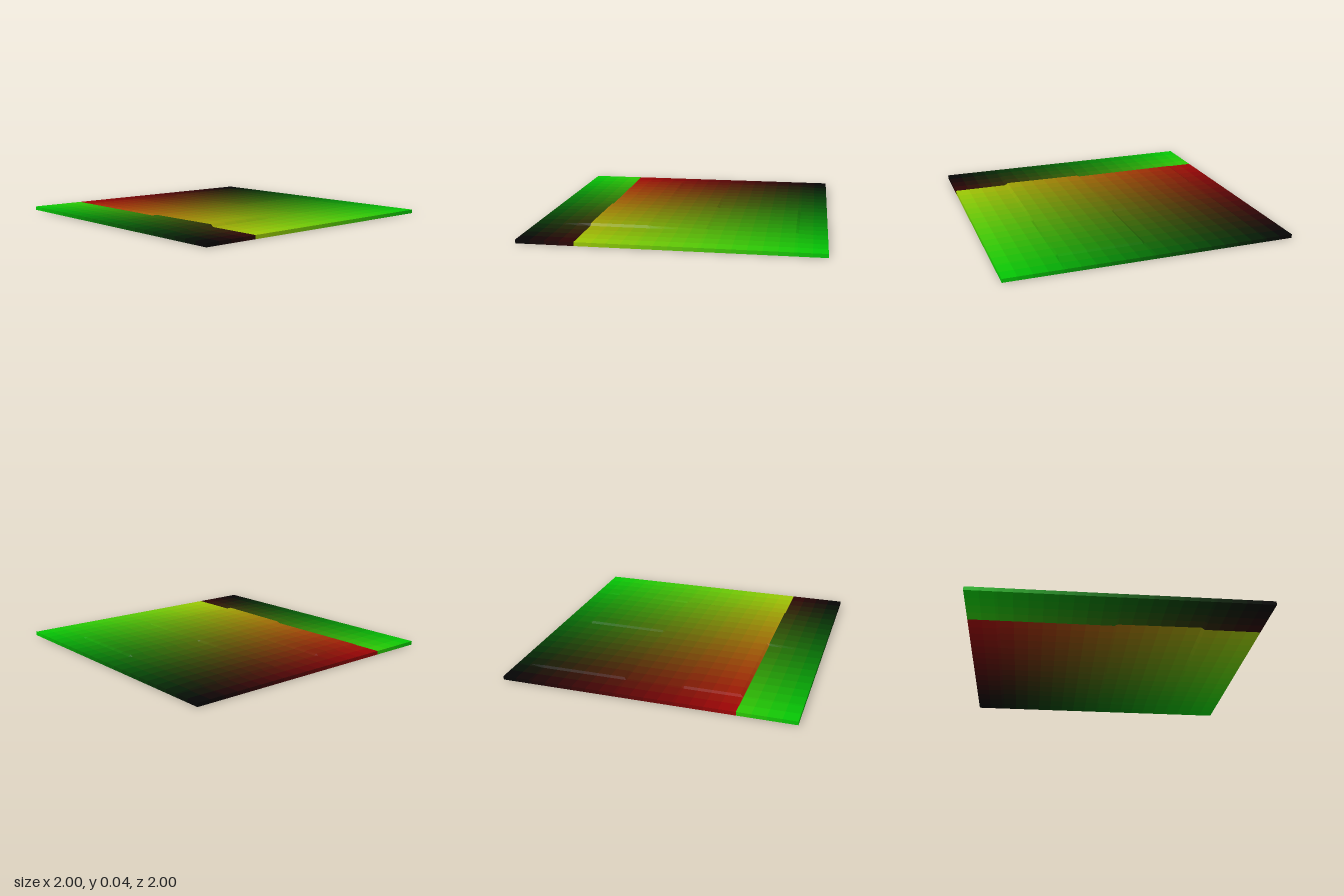
import * as THREE from 'three';

const THICKNESS = 0.026, BASE = 0.002, GAP = 0.01;

// Panel borders of the sheet
const XS = [-1, -0.6, -0.2, 0.2, 0.8, 1];
const ZS = [-1, -0.8, 0, 0.6, 1];

// Rise of each panel's corners in thousandths: back left, back right, front left, front right
const FLAT = [0, 0, 0, 0];
const PANELS = [
  [FLAT, FLAT, FLAT, FLAT, FLAT],
  [FLAT, [10, 10, 9, 9], [0, 0, 8, 10], [10, 10, -2, -2], [10, 0, 0, 0]],
  [[0, 11, 0, 16], [11, 11, 16, 16], [8, 8, 14, 8], [8, 10, 2, 8], FLAT],
  [FLAT, FLAT, [0, 8, 0, 0], [10, 8, 0, 0], [8, 0, 0, 0]],
];

// Sample positions across the panels, leaving a narrow step between neighbours
function samples(borders) {
  const list = [];
  for (let p = 0; p < borders.length - 1; p++) {
    const a = borders[p], b = borders[p + 1];
    const start = p === 0 ? a : a + GAP;
    const end = p === borders.length - 2 ? b : b - GAP;
    const count = Math.round((b - a) / 0.1);
    for (let k = 0; k <= count; k++) {
      const at = start + (end - start) * k / count;
      list.push({ at, panel: p, t: (at - a) / (b - a) });
    }
  }
  return list;
}

// Underside height: blend of the four corners of a panel
function rise(sx, sz) {
  const [a, b, c, d] = PANELS[sz.panel][sx.panel];
  const back = a + (b - a) * sx.t, front = c + (d - c) * sx.t;
  return BASE + (back + (front - back) * sz.t) / 1000;
}

// Two-tone gradient: a side strip with a reversed blend, then the main field
function tint(x, z) {
  const t = (z + 1) / 2;
  const red = x < -0.601 ? 0.2 * (x + 1) / 0.4 : 0.63 * (1 - x) / 1.6;
  const green = 0.8 * (x < -0.601 ? 1 - t : t);
  return new THREE.Color().setRGB(red, green, 0.02, THREE.SRGBColorSpace);
}

// Open patch made of four-cornered faces, corners counter-clockwise from outside
function patch(quads) {
  const positions = [];
  for (const [a, b, c, d] of quads) positions.push(...a, ...b, ...c, ...a, ...c, ...d);
  const geometry = new THREE.BufferGeometry();
  geometry.setAttribute('position', new THREE.Float32BufferAttribute(positions, 3));
  geometry.computeVertexNormals();
  return geometry;
}

export function createModel() {
  const model = new THREE.Group();
  model.name = 'steppedSheet';
  const xs = samples(XS), zs = samples(ZS);
  const lastX = xs.length - 2, lastZ = zs.length - 2;

  for (let i = 0; i <= lastX; i++) {
    for (let j = 0; j <= lastZ; j++) {
      const x0 = xs[i], x1 = xs[i + 1], z0 = zs[j], z1 = zs[j + 1];
      const down = (x, z) => [x.at, rise(x, z), z.at];
      const up = (x, z) => [x.at, rise(x, z) + THICKNESS, z.at];
      const wall = (ax, az, bx, bz) => [down(ax, az), down(bx, bz), up(bx, bz), up(ax, az)];

      // Top and underside of one tile
      const quads = [
        [up(x0, z0), up(x0, z1), up(x1, z1), up(x1, z0)],
        [down(x0, z0), down(x1, z0), down(x1, z1), down(x0, z1)],
      ];
      // Side faces along the outer rim
      if (i === 0) quads.push(wall(x0, z0, x0, z1));
      if (i === lastX) quads.push(wall(x1, z1, x1, z0));
      if (j === 0) quads.push(wall(x1, z0, x0, z0));
      if (j === lastZ) quads.push(wall(x0, z1, x1, z1));

      const color = tint((x0.at + x1.at) / 2, (z0.at + z1.at) / 2);
      const tile = new THREE.Mesh(patch(quads), new THREE.MeshStandardMaterial({ color }));
      tile.name = 'sheetTile';
      model.add(tile);
    }
  }
  return model;
}
